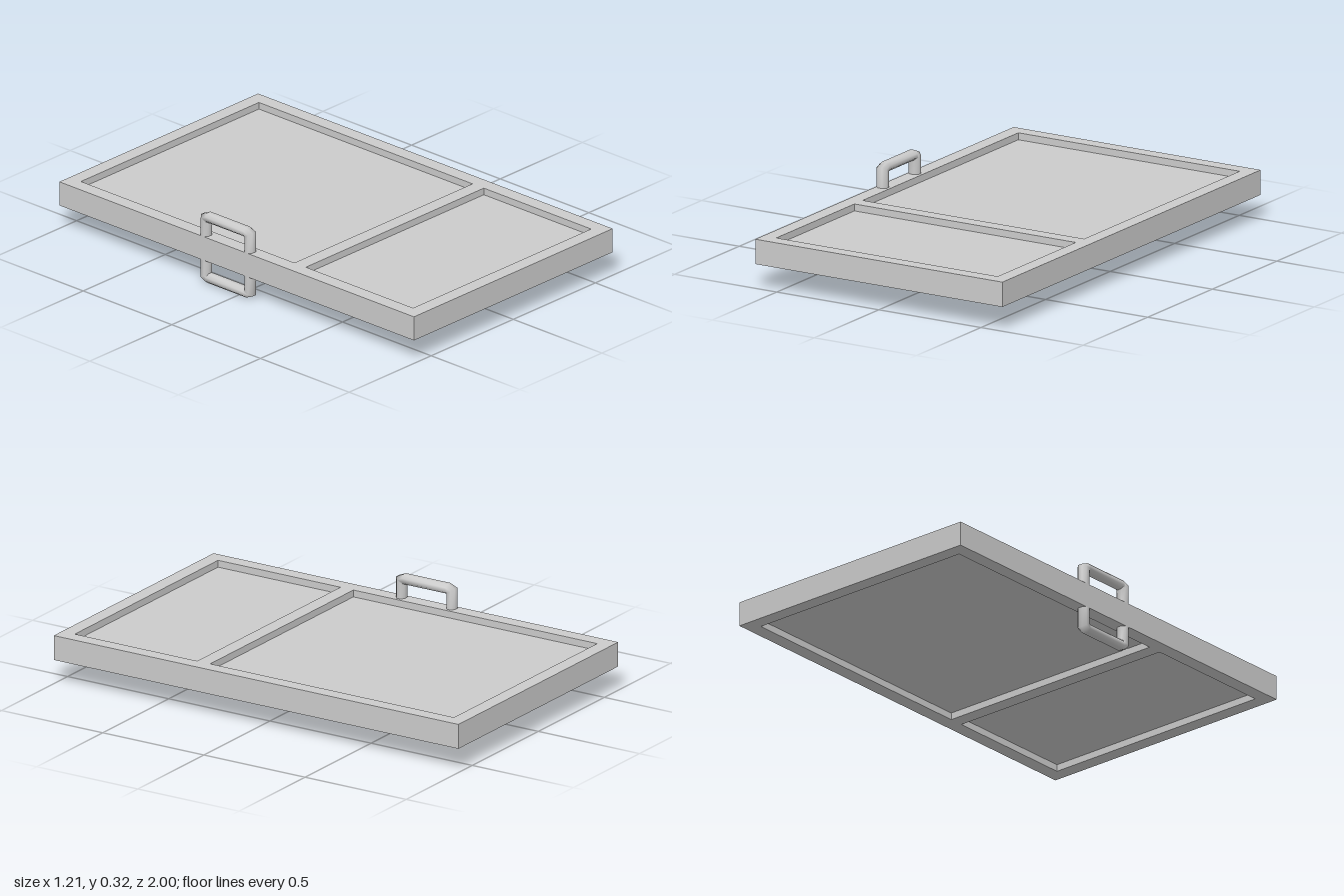
import * as THREE from 'three';

const material = new THREE.MeshStandardMaterial({ color: 0xcccccc });
const MID = 0.159; // mid-thickness height of the door lying flat
const THICK = 0.107;

function add(parent, geometry, name) {
  const mesh = new THREE.Mesh(geometry, material);
  mesh.name = name;
  parent.add(mesh);
  return mesh;
}

function rect(target, hx, z0, z1) {
  target.moveTo(-hx, z0);
  target.lineTo(hx, z0);
  target.lineTo(hx, z1);
  target.lineTo(-hx, z1);
  target.closePath();
  return target;
}

// Border frame with two openings, leaving a cross rail between them
function frameGeometry() {
  const shape = rect(new THREE.Shape(), 0.605, -1, 1);
  shape.holes.push(rect(new THREE.Path(), 0.542, -0.937, 0.268));
  shape.holes.push(rect(new THREE.Path(), 0.542, 0.332, 0.937));
  const geometry = new THREE.ExtrudeGeometry(shape, { depth: THICK, bevelEnabled: false });
  geometry.translate(0, 0, -THICK / 2);
  geometry.rotateX(Math.PI / 2);
  return geometry;
}

// U-shaped pull: an octagonal section swept up, across and down,
// with chamfered outer corners and sharp inner ones
function handleGeometry() {
  const sides = 8, width = 0.042, halfX = 0.025;
  const innerZ = 0.103, innerY = 0.116, footY = 0.03;
  // Each station: inner point z, y and the direction in which the section grows outward
  const half = [
    [innerZ, footY, 1, 0],
    [innerZ, innerY, 1, 0.64],
    [innerZ, innerY, 0.17, 1],
  ];
  const stations = [...half, ...half.map(([z, y, dz, dy]) => [-z, y, -dz, dy]).reverse()];
  const positions = [], index = [];
  stations.forEach(([z, y, dz, dy], i) => {
    for (let j = 0; j < sides; j++) {
      const angle = ((j + 0.5) / sides) * Math.PI * 2;
      const k = 1 / Math.cos(Math.PI / sides);
      const b = (width / 2) * (1 + k * Math.sin(angle));
      positions.push(halfX * k * Math.cos(angle), y + b * dy, z + b * dz);
      if (i < stations.length - 1) {
        const a = i * sides + j, c = i * sides + ((j + 1) % sides);
        index.push(a, a + sides, c, c, a + sides, c + sides);
      }
    }
  });
  const geometry = new THREE.BufferGeometry();
  geometry.setAttribute('position', new THREE.Float32BufferAttribute(positions, 3));
  geometry.setIndex(index);
  geometry.computeVertexNormals();
  return geometry;
}

export function createModel() {
  const door = new THREE.Group();
  door.name = 'door';

  add(door, frameGeometry(), 'frame').position.y = MID;

  // Recessed panels on both sides of the cross rail
  for (const [name, z0, z1] of [['upperPanel', -0.937, 0.268], ['lowerPanel', 0.332, 0.937]]) {
    const panel = add(door, new THREE.BoxGeometry(1.084, 0.047, z1 - z0), name);
    panel.position.set(0, MID, (z0 + z1) / 2);
  }

  // One pull handle on each face
  const pull = handleGeometry();
  ['frontHandle', 'backHandle'].forEach((name, i) => {
    const handle = add(door, pull, name);
    handle.position.set(-0.58, MID, -0.07);
    handle.rotation.z = i * Math.PI;
  });
  return door;
}
